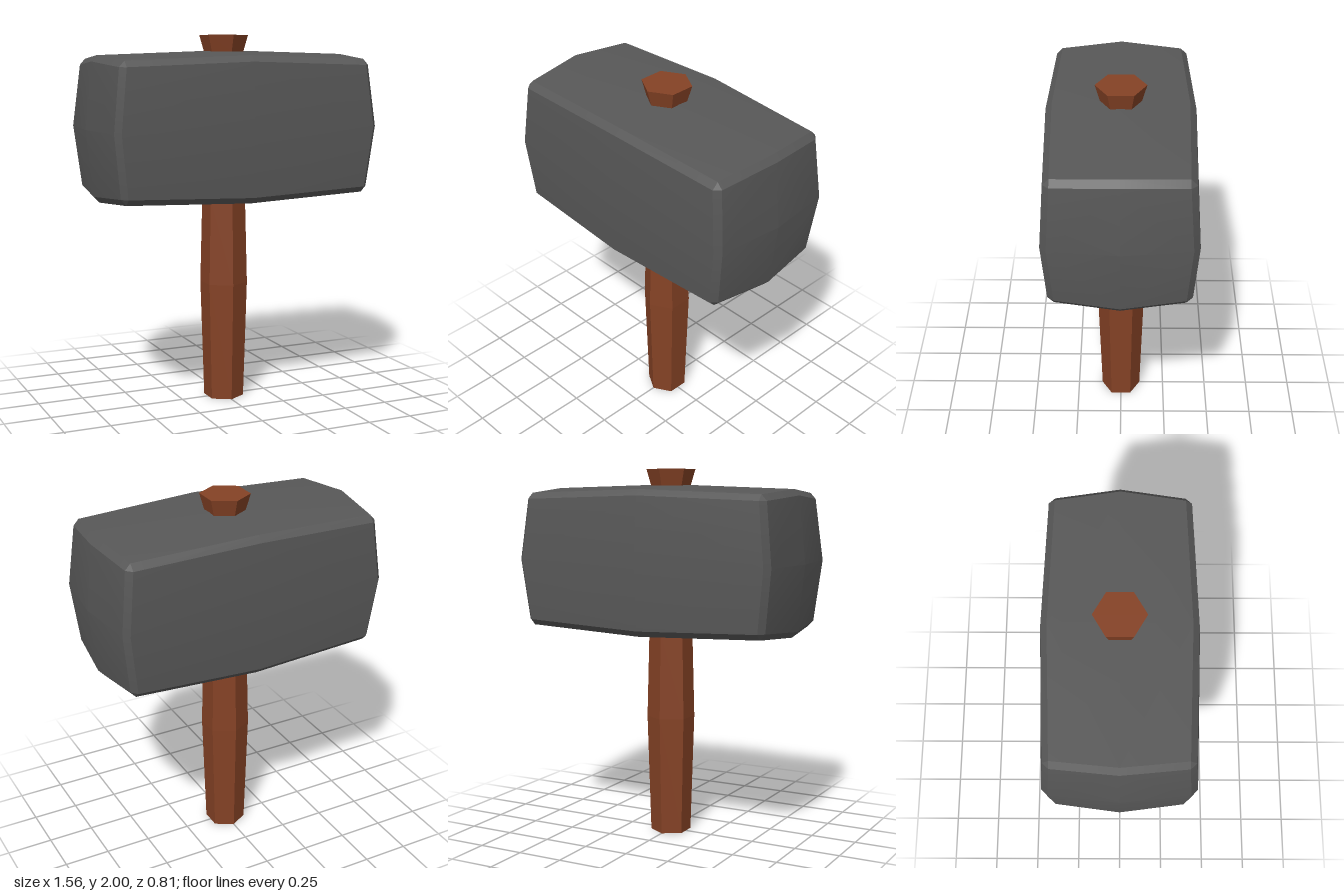
import * as THREE from 'three';
import { toCreasedNormals } from 'three/addons/utils/BufferGeometryUtils.js';
import { ConvexGeometry } from 'three/addons/geometries/ConvexGeometry.js';

const HALF = [0.78, 0.405, 0.405];     // half extents at the face centres
const DROP = [0.038, 0.023, 0.023];    // how far each bulging face falls back towards its edges
const BEVEL = [0.067, 0.055, 0.055];   // inset of each face outline

// Bulging block: every face is a 3 x 3 grid, the hull closes the bevels between them
function bulgedBlock() {
  const points = [];
  for (let axis = 0; axis < 3; axis++) {
    const u = (axis + 1) % 3, v = (axis + 2) % 3;
    for (const side of [-1, 1]) {
      for (const i of [-1, 0, 1]) {
        for (const j of [-1, 0, 1]) {
          const p = [0, 0, 0];
          p[axis] = side * (HALF[axis] - DROP[axis] * (Math.abs(i) + Math.abs(j)));
          p[u] = i * (HALF[u] - BEVEL[u] - DROP[u] * Math.abs(j));
          p[v] = j * (HALF[v] - BEVEL[v] - DROP[v] * Math.abs(i));
          points.push(new THREE.Vector3(...p));
        }
      }
    }
  }
  return toCreasedNormals(new ConvexGeometry(points), 0.3);
}

export function createModel() {
  const group = new THREE.Group();

  // Heavy block head
  const head = new THREE.Mesh(bulgedBlock(), new THREE.MeshStandardMaterial({ color: 0x585858 }));
  head.name = 'head';
  head.position.y = 1.514;
  group.add(head);

  // Six-sided handle, swelling at the grip, flared above the head and open at the foot
  const profile = [[0.11, 0], [0.13, 0.65], [0.118, 1.12], [0.106, 1.91], [0.132, 2], [0, 2]]
    .map(([r, y]) => new THREE.Vector2(r, y));
  const handle = new THREE.Mesh(
    new THREE.LatheGeometry(profile, 6),
    new THREE.MeshStandardMaterial({ color: 0x854225, flatShading: true, side: THREE.DoubleSide })
  );
  handle.name = 'handle';
  group.add(handle);

  return group;
}
